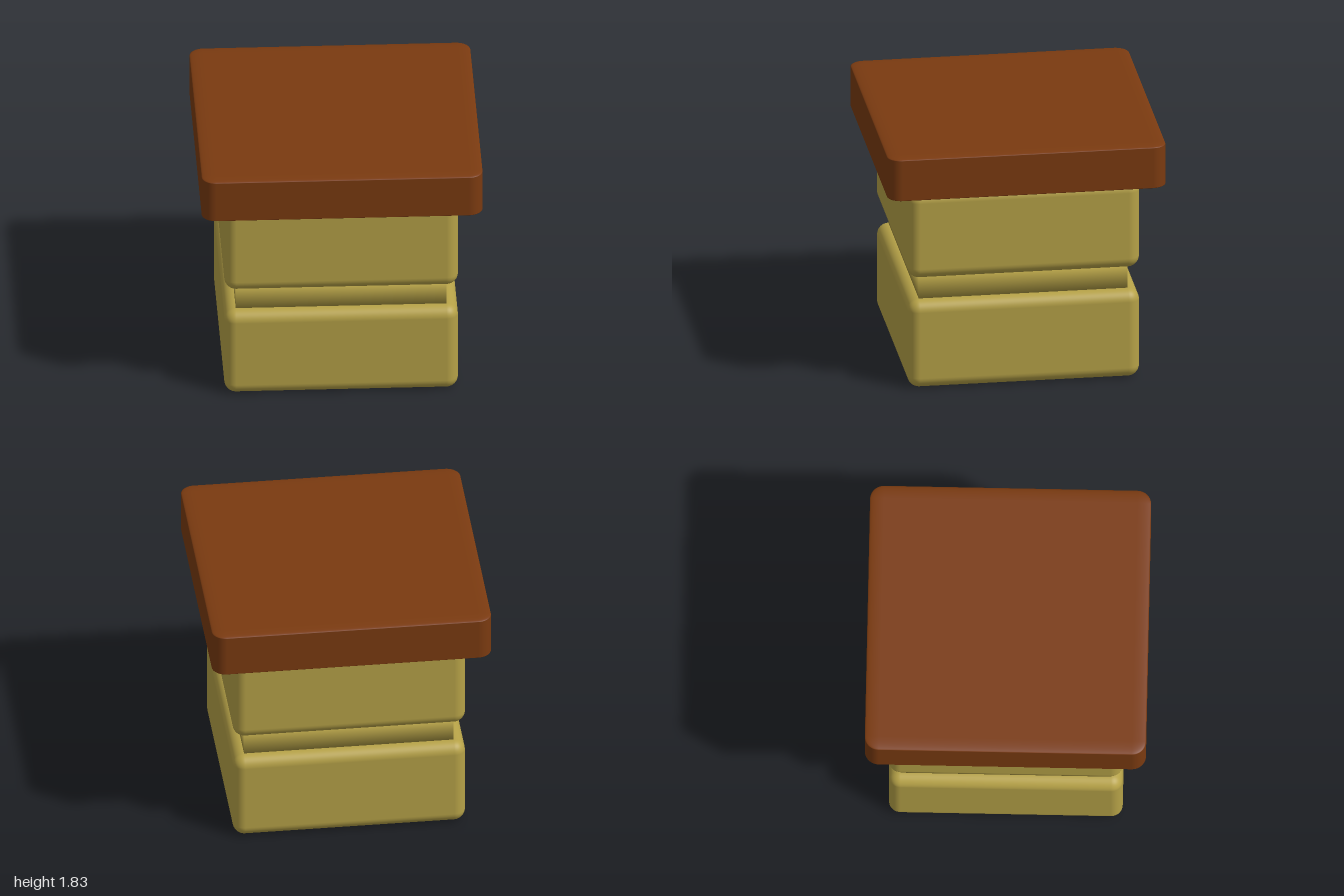
import * as THREE from 'three';
import { RoundedBoxGeometry } from 'three/addons/geometries/RoundedBoxGeometry.js';
import { mergeVertices } from 'three/addons/utils/BufferGeometryUtils.js';

const stone = new THREE.MeshStandardMaterial({ color: 0xb5a147 });
const wood = new THREE.MeshStandardMaterial({ color: 0x7a3a10 });

// Box whose corners share one averaged normal, for soft shading
function softBox(w, h, d) {
  const box = new THREE.BoxGeometry(w, h, d);
  box.deleteAttribute('normal');
  box.deleteAttribute('uv');
  const merged = mergeVertices(box);
  merged.computeVertexNormals();
  return merged;
}

export function createModel() {
  const model = new THREE.Group();
  model.name = 'blockPedestal';

  const add = (name, geometry, material, y) => {
    const mesh = new THREE.Mesh(geometry, material);
    mesh.name = name;
    mesh.position.y = y;
    model.add(mesh);
  };

  // Two rounded stone blocks
  const block = new RoundedBoxGeometry(1.664, 0.664, 1.664, 6, 0.083);
  add('lowerBlock', block, stone, 0.332);
  add('upperBlock', block, stone, 1.164);

  // Recessed neck between the blocks
  add('neck', softBox(1.5, 0.168, 1.5), stone, 0.748);

  // Overhanging slab: a rounded cube flattened, so its edges flatten too
  const cap = new RoundedBoxGeometry(2, 2, 2, 6, 0.1);
  cap.scale(1, 0.1665, 1);
  add('cap', cap, wood, 1.6625);

  return model;
}
